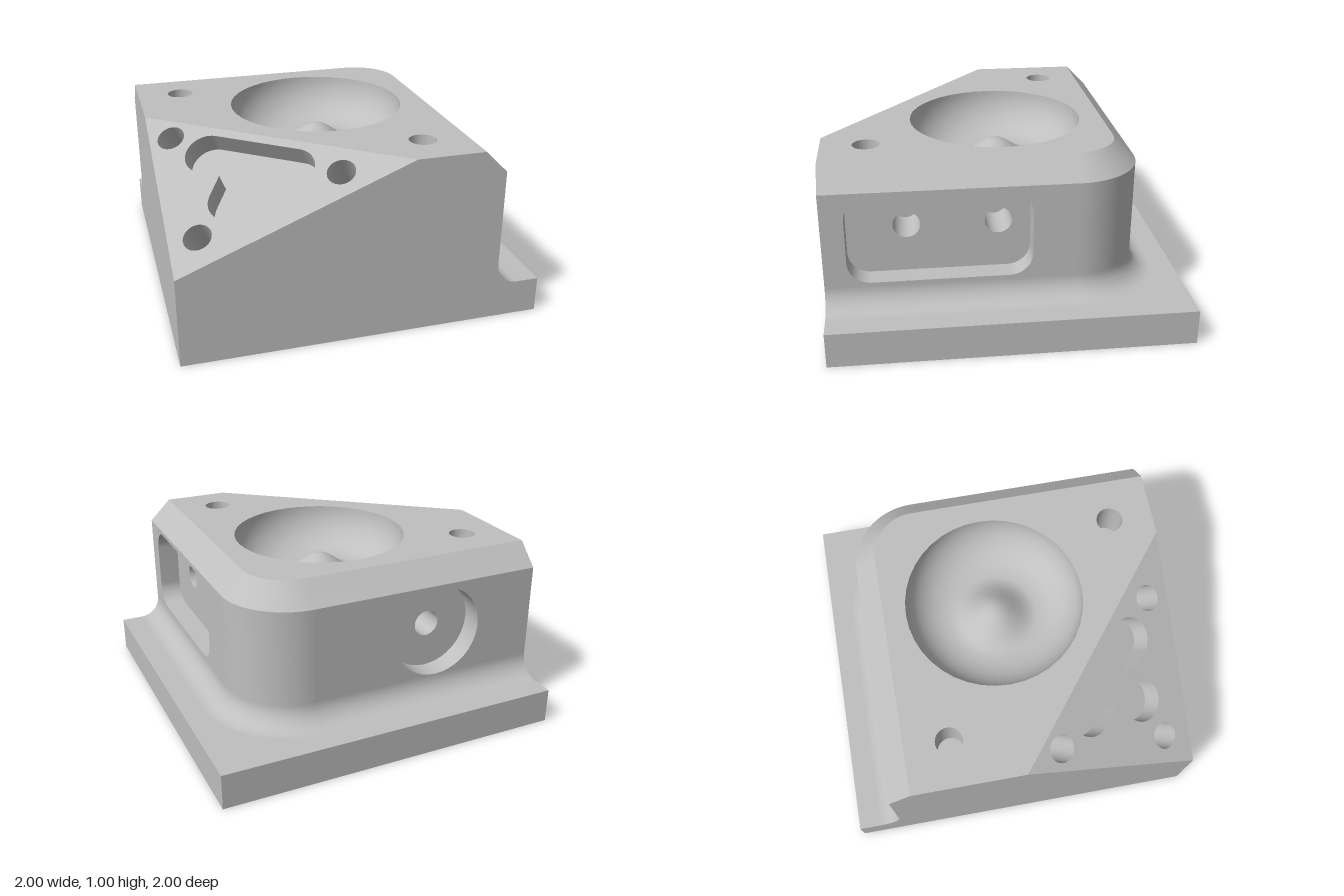
import * as THREE from 'three';
import { toCreasedNormals } from 'three/addons/utils/BufferGeometryUtils.js';

const SEG = 20;
const V = (x, y, z) => new THREE.Vector3(x, y, z);

// Local frame of a face: u and v lie in the face, their cross product points outward
function frame(origin, u, v) {
  return new THREE.Matrix4().makeBasis(u, v, u.clone().cross(v)).setPosition(origin);
}

function polygon(...pts) {
  return new THREE.Shape(pts.map(([x, y]) => new THREE.Vector2(x, y)));
}

function circle(x, y, r) {
  return new THREE.Shape().absarc(x, y, r, 0, Math.PI * 2, false);
}

// Points on an arc, angles in quarter turns
function arc(cx, cy, r, from, to) {
  return Array.from({ length: SEG + 1 }, (_, i) => {
    const a = (from + ((to - from) * i) / SEG) * Math.PI / 2;
    return [cx + r * Math.cos(a), cy + r * Math.sin(a)];
  });
}

function roundedRect(cx, cy, w, h, r) {
  const x = w / 2 - r, y = h / 2 - r;
  return polygon(...arc(cx + x, cy + y, r, 0, 1), ...arc(cx - x, cy + y, r, 1, 2),
    ...arc(cx - x, cy - y, r, 2, 3), ...arc(cx + x, cy - y, r, 3, 4));
}

function geometryFrom(positions) {
  const g = new THREE.BufferGeometry();
  g.setAttribute('position', new THREE.Float32BufferAttribute(positions, 3));
  return toCreasedNormals(g, 0.5);
}

export function createModel() {
  const model = new THREE.Group();
  const grey = new THREE.MeshStandardMaterial({ color: 0xbfbfbf });
  grey.name = 'machined grey';

  function add(name, geometry) {
    const mesh = new THREE.Mesh(geometry, grey);
    mesh.name = name;
    model.add(mesh);
    return mesh;
  }

  // Flat face with openings, optionally sunk below its frame
  function face(name, f, outline, holes = [], sink = 0) {
    const shape = outline.clone();
    shape.holes = holes;
    add(name, new THREE.ShapeGeometry(shape, SEG).translate(0, 0, -sink).applyMatrix4(f));
  }

  // Inward-facing walls and a floor
  function pocket(name, f, outline, depth, floorHoles = [], sink = 0) {
    const pts = outline.getPoints(SEG);
    const pos = [];
    pts.forEach((a, i) => {
      const b = pts[(i + 1) % pts.length];
      if (a.distanceTo(b) < 1e-6) return;
      const top = -sink, low = -sink - depth;
      pos.push(a.x, a.y, top, b.x, b.y, top, b.x, b.y, low,
        a.x, a.y, top, b.x, b.y, low, a.x, a.y, low);
    });
    add(name + 'Wall', geometryFrom(pos).applyMatrix4(f));
    face(name + 'Floor', f, outline, floorHoles, sink + depth);
  }

  // Sweep a profile of [offset, height], listed downward, around the rounded corner
  function sweep(name, profile, cornerOnly) {
    const stations = Array.from({ length: SEG + 1 }, (_, i) => [0.375, -0.375, (i / SEG) * Math.PI / 2]);
    if (!cornerOnly) {
      stations.unshift([0.375, 1, 0]);
      stations.push([-1, -0.375, Math.PI / 2]);
    }
    const point = ([cx, cz, a], [o, y]) =>
      [cx + Math.cos(a) * (0.375 + o), y, cz - Math.sin(a) * (0.375 + o)];
    const pos = [];
    for (let i = 0; i < stations.length - 1; i++) {
      for (let j = 0; j < profile.length - 1; j++) {
        const a = point(stations[i], profile[j]), b = point(stations[i], profile[j + 1]);
        const c = point(stations[i + 1], profile[j + 1]), d = point(stations[i + 1], profile[j]);
        pos.push(...a, ...b, ...c, ...a, ...c, ...d);
      }
    }
    add(name, geometryFrom(pos));
  }

  const X = V(1, 0, 0), Y = V(0, 1, 0), Z = V(0, 0, 1);
  const nX = V(-1, 0, 0), nZ = V(0, 0, -1);
  const topFrame = frame(V(0, 1, 0), X, nZ);
  const leftFrame = frame(V(0.75, 0, 0), nZ, Y);
  const backFrame = frame(V(0, 0, -0.75), nX, Y);

  // Base plate
  const square = polygon([-1, -1], [1, -1], [1, 1], [-1, 1]);
  const edge = polygon([-1, 0], [1, 0], [1, 0.2], [-1, 0.2]);
  face('plateBottom', frame(V(0, 0, 0), X, Z), square);
  face('plateLeftEdge', frame(V(1, 0, 0), nZ, Y), edge);
  face('plateBackEdge', frame(V(0, 0, -1), nX, Y), edge);
  face('plateLedge', frame(V(0, 0.2, 0), X, nZ),
    polygon([0.875, -1], [1, -1], [1, 1], [-1, 1], [-1, 0.875], ...arc(0.375, 0.375, 0.5, 1, 0)));

  // Flush front and right sides
  face('frontSide', frame(V(0, 0, 1), X, Y),
    polygon([-1, 0], [1, 0], [1, 0.2], ...arc(0.875, 0.325, 0.125, -1, -2),
      [0.75, 0.875], [0.625, 1], [0.25, 1], [-1, 0.5]));
  face('rightSide', frame(V(-1, 0, 0), Z, Y),
    polygon([-1, 0], [1, 0], [1, 0.5], [0, 1], [-0.625, 1], [-0.75, 0.875],
      ...arc(-0.875, 0.325, 0.125, 0, -1), [-1, 0.2]));

  // Chamfer, rounded corner and fillet
  sweep('topChamfer', [[-0.125, 1], [0, 0.875]]);
  sweep('roundedCorner', [[0, 0.875], [0, 0.325]], true);
  sweep('baseFillet', arc(0.125, 0.325, 0.125, 2, 3));

  // Top with two drilled holes and a ring-shaped bowl
  const topHoles = [circle(-0.75, 0.38, 0.075), circle(0.375, -0.75, 0.075)];
  face('topFace', topFrame,
    polygon([-1, 0], [0.25, -1], [0.625, -1], ...arc(0.375, 0.375, 0.25, 0, 1), [-1, 0.625]),
    [circle(0, 0, 0.5), ...topHoles]);
  topHoles.forEach(h => pocket('topHole', topFrame, h, 0.25));

  const bowl = arc(0.25, 1, 0.25, 0, -1).map(([x, y]) => new THREE.Vector2(x, y));
  for (let i = 1; i <= SEG; i++) {
    const t = i / SEG;
    bowl.push(new THREE.Vector2(0.25 * (1 - t), 0.75 + 0.06 * (1 - Math.cos(Math.PI * t))));
  }
  add('bowl', new THREE.LatheGeometry(bowl, SEG * 4));

  // Left wall with a rounded pocket and two holes
  const leftPocket = roundedRect(-0.375, 0.6, 1, 0.5, 0.125);
  const leftHoles = [-0.55, -0.05].map(u => circle(u, 0.625, 0.075));
  face('leftWall', leftFrame, polygon([-1, 0.325], [0.375, 0.325], [0.375, 0.875], [-1, 0.875]), [leftPocket]);
  pocket('leftPocket', leftFrame, leftPocket, 0.125, leftHoles);
  leftHoles.forEach(h => pocket('leftHole', leftFrame, h, 0.25, [], 0.125));

  // Back wall with a round pocket and a centre hole
  const backPocket = circle(0.38, 0.595, 0.265);
  const backHole = circle(0.38, 0.595, 0.075);
  face('backWall', backFrame, polygon([-0.375, 0.325], [1, 0.325], [1, 0.875], [-0.375, 0.875]), [backPocket]);
  pocket('backPocket', backFrame, backPocket, 0.125, [backHole]);
  pocket('backHole', backFrame, backHole, 0.25, [], 0.125);

  // Slanted corner with a T-shaped pocket and three holes
  const u = V(1.25, 0, 1).normalize();
  const n = V(-0.4, 1, 0.5).normalize();
  const slant = frame(V(-1, 1, 0), u, n.clone().cross(u));
  const r = 0.122, cu = 0.722, slotV = -0.172;
  const tee = polygon(...arc(cu - 0.25, slotV, r, 1, 2), ...arc(cu - 0.25, slotV, r, 2, 3),
    [cu - r, slotV - r], ...arc(cu, -0.423, r, 2, 3), ...arc(cu, -0.423, r, 3, 4),
    [cu + r, slotV - r], ...arc(cu + 0.25, slotV, r, 3, 4), ...arc(cu + 0.25, slotV, r, 4, 5));
  const slantHoles = [[0.22, -0.11], [1.237, -0.147], [0.638, -0.67]].map(([a, b]) => circle(a, b, 0.076));
  face('slantedFace', slant, polygon([0, 0], [0.6247, -0.9274], [1.6008, 0]), [tee, ...slantHoles]);
  pocket('teePocket', slant, tee, 0.125);
  slantHoles.forEach(h => pocket('slantedHole', slant, h, 0.25));

  return model;
}
